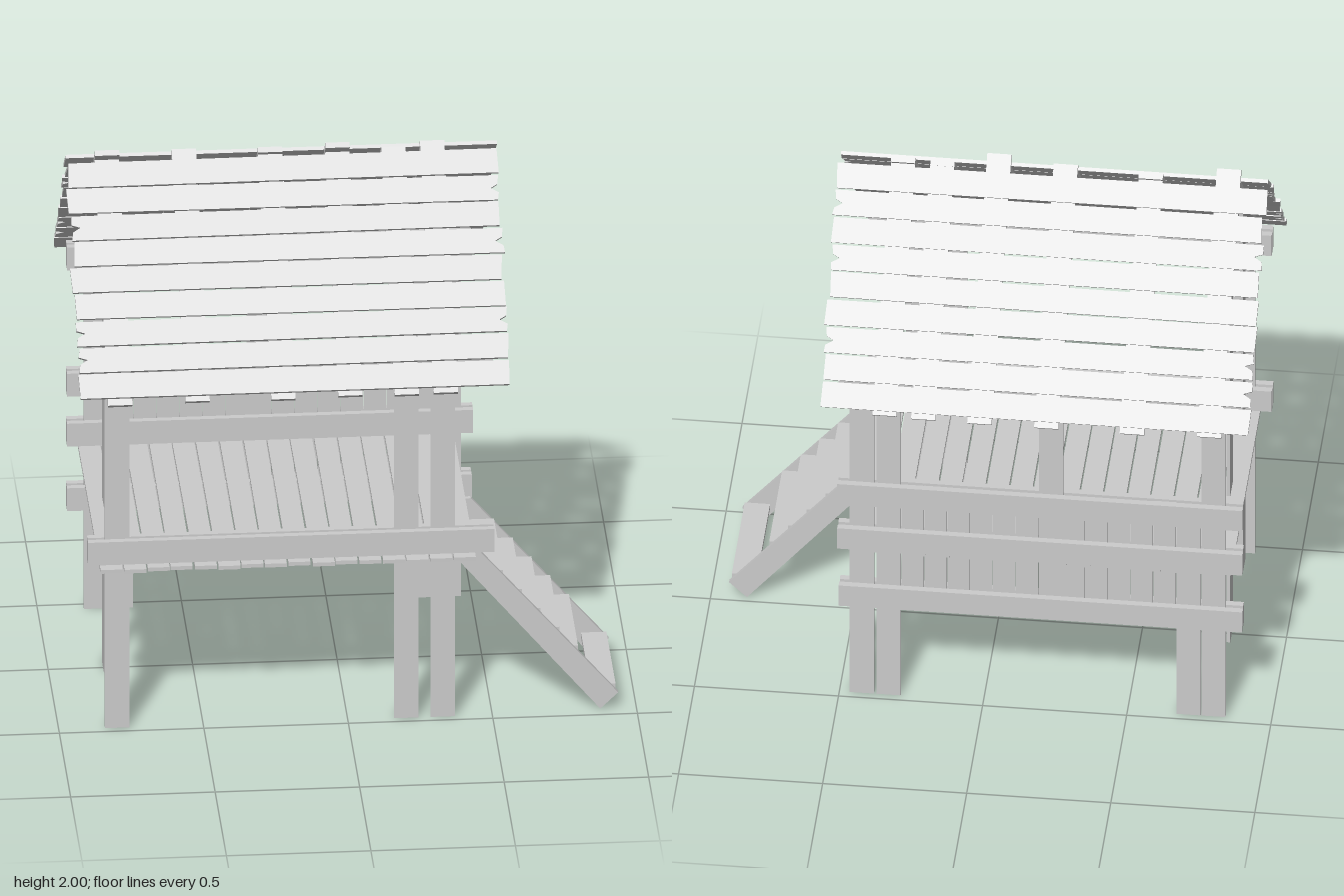
import * as THREE from 'three';

const material = new THREE.MeshStandardMaterial({ color: 0xcccccc, flatShading: true });

// Small seeded generator, returns -1..1, for hand-nailed irregularity
let seed = 7;
const jitter = (amount) => {
  seed = (seed * 16807) % 2147483647;
  return (seed / 2147483647 * 2 - 1) * amount;
};

function add(parent, name, geometry) {
  const mesh = new THREE.Mesh(geometry, material);
  mesh.name = name;
  parent.add(mesh);
  return mesh;
}

// Box given by its extents on each axis
function board(parent, name, [x0, x1], [y0, y1], [z0, z1]) {
  const mesh = add(parent, name, new THREE.BoxGeometry(x1 - x0, y1 - y0, z1 - z0));
  mesh.position.set((x0 + x1) / 2, (y0 + y1) / 2, (z0 + z1) / 2);
  return mesh;
}

function slab(points, depth) {
  const shape = new THREE.Shape(points.map(([x, y]) => new THREE.Vector2(x, y)));
  return new THREE.ExtrudeGeometry(shape, { depth, bevelEnabled: false });
}

function group(parent, name) {
  const g = new THREE.Group();
  g.name = name;
  parent.add(g);
  return g;
}

const PITCH = THREE.MathUtils.degToRad(47.3);
const RIDGE = 1.945;
const underRoof = (z) => RIDGE - Math.tan(PITCH) * Math.abs(z);

function addPosts(parent) {
  const posts = group(parent, 'posts');
  // Front and back uprights, wide along x: [left edge, bottom, top]
  for (const [x, y0, y1] of [[-0.84, 0, 1.4], [0.16, 0, 1.4], [0.287, 0, 1.4]])
    board(posts, 'frontPost', [x, x + 0.084], [y0, y1], [0.461, 0.473]);
  for (const [x, y0, y1] of [[-0.84, 0, 1.4], [-0.754, 0, 0.9], [-0.277, 0.4, 1.4], [0.287, 0, 1.4], [0.38, 0, 1.4]])
    board(posts, 'backPost', [x, x + 0.084], [y0, y1], [-0.473, -0.461]);
  // End uprights, wide along z, with tops cut to the roof slope
  for (const [z0, z1] of [[-0.05, 0.04], [0.35, 0.437]]) {
    const points = [[z0, 0], [z1, 0], [z1, underRoof(z1)], [z0, underRoof(z0)]];
    if (z0 < 0) points.splice(3, 0, [0, RIDGE]);
    const post = add(posts, 'endPost', slab(points, 0.013));
    post.rotation.y = -Math.PI / 2;
    post.position.x = -0.797;
  }
}

// Rails clamp the posts from both sides
function addRails(parent) {
  const rails = group(parent, 'rails');
  const pair = (name, side, y, x1) => {
    for (const [a, b] of [[0.437, 0.46], [0.474, 0.497]])
      board(rails, name, [-0.9, x1], [y, y + 0.088], side > 0 ? [a, b] : [-b, -a]);
  };
  pair('frontDeckRail', 1, 0.638, 0.505);
  pair('frontEaveBeam', 1, 1.315, 0.5);
  pair('backLowRail', -1, 0.39, 0.5);
  pair('backDeckRail', -1, 0.638, 0.505);
  pair('backTopRail', -1, 0.83, 0.505);
  pair('backEaveBeam', -1, 1.315, 0.5);
  // Upright fence slats between the back rails
  for (let i = 0; i < 12; i++) {
    const x = -0.667 + i * 0.0795;
    board(rails, 'fenceSlat', [x, x + 0.077], [0.383 + jitter(0.006), 0.905 + jitter(0.006)], [-0.473, -0.461]);
  }
}

function addDeck(parent) {
  const deck = group(parent, 'deck');
  for (let i = 0; i < 16; i++) {
    const x = -0.86 + i * 0.0815;
    const plank = board(deck, 'deckPlank', [x, x + 0.076], [0.621, 0.635],
      [-0.483 + jitter(0.006), 0.525 + jitter(0.009)]);
    plank.rotation.y = jitter(0.004);
  }
}

// Roof plank outline, with a split at either end when asked
function plankGeometry(x0, x1, width, splitLeft, splitRight) {
  const w = width / 2;
  const points = [[x0, -w], [x1 + jitter(0.006), -w]];
  if (splitRight) points.push([x1, -0.018], [x1 - 0.028, -0.002], [x1 - 0.004, 0.012]);
  points.push([x1, w], [x0 + jitter(0.006), w]);
  if (splitLeft) points.push([x0, 0.012], [x0 + 0.03, 0.002], [x0 + 0.004, -0.014]);
  return slab(points, 0.013).translate(0, 0, -0.0065).rotateX(-Math.PI / 2);
}

function addRoof(parent) {
  // Rafters: [left edge, how far the front / back one passes the ridge]
  const rafters = [[-0.84, 0, 0.056], [-0.572, 0.03, 0], [-0.275, 0, 0.035],
    [-0.043, 0, 0.056], [0.152, 0.012, 0], [0.287, 0.03, 0]];
  for (const side of [1, -1]) {
    // Local z runs down the slope
    const slope = group(parent, side > 0 ? 'frontRoof' : 'backRoof');
    slope.position.y = RIDGE;
    slope.rotation.x = side > 0 ? PITCH : Math.PI - PITCH;
    for (const [x, front, back] of rafters) {
      const rafter = board(slope, 'rafter', [x, x + 0.084], [-0.01, 0.01],
        [-(side > 0 ? front : back), 0.88 + jitter(0.005)]);
      rafter.position.y = side * 0.01;
    }
    for (let i = 0; i < 9; i++) {
      const plank = add(slope, 'roofPlank', plankGeometry(-0.935 + jitter(0.006), 0.55 + jitter(0.006),
        0.088, i % 4 === 2 || i === 7, i % 5 === 1 || i === 3));
      plank.position.set(0, side * 0.0275, 0.055 + i * 0.0952);
      plank.rotation.set(jitter(0.03), jitter(0.003), 0);
    }
  }
}

function addStairs(parent) {
  const stairs = group(parent, 'stairs');
  for (const z of [0.02, 0.441]) {
    const stringer = add(stairs, 'stringer',
      slab([[0.875, 0.002], [0.937, 0.062], [0.46, 0.62], [0.36, 0.62]], 0.016));
    stringer.position.z = z;
  }
  for (const y of [0.08, 0.23, 0.305, 0.38, 0.455, 0.53]) {
    const x = 0.885 - 0.865 * (y - 0.08);
    board(stairs, 'tread', [x - 0.044, x + 0.044], [y - 0.009, y + 0.009], [0.036, 0.441]);
  }
}

export function createModel() {
  seed = 7;
  const model = new THREE.Group();
  model.name = 'playhouse';
  addPosts(model);
  addRails(model);
  addDeck(model);
  addRoof(model);
  addStairs(model);
  return model;
}
